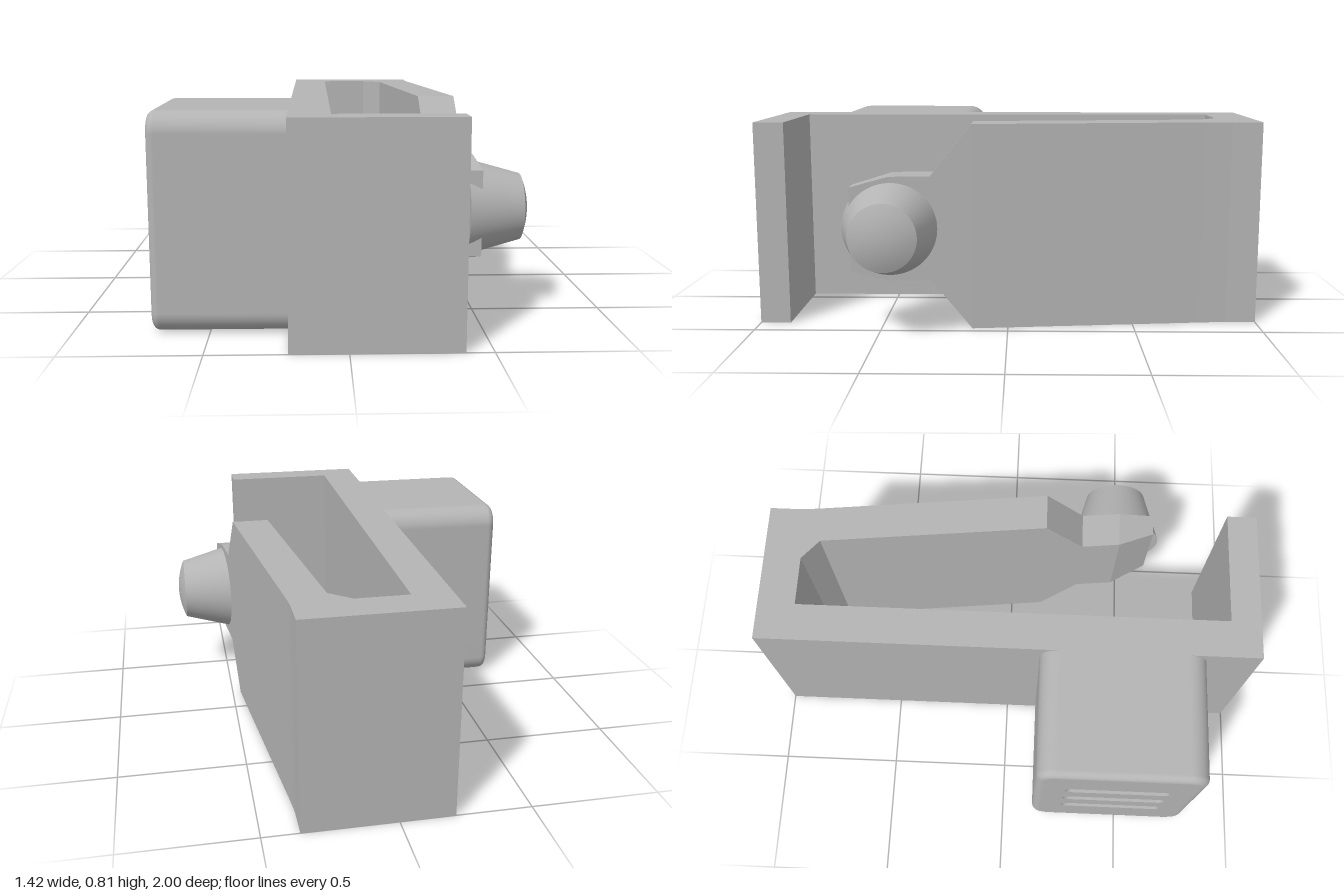
import * as THREE from 'three';

const HEIGHT = 0.81, MID = HEIGHT / 2;

// Rounded rectangle outline centred on the origin
function roundedRect(w, h, r, Type = THREE.Shape) {
  const s = new Type(), x = w / 2 - r, y = h / 2 - r;
  s.absarc(x, y, r, 0, Math.PI / 2);
  s.absarc(-x, y, r, Math.PI / 2, Math.PI);
  s.absarc(-x, -y, r, Math.PI, Math.PI * 1.5);
  s.absarc(x, -y, r, Math.PI * 1.5, Math.PI * 2);
  s.closePath();
  return s;
}

// Flat-shaded loft through rectangular sections [z, xInner, xOuter, yLow, yHigh]
function loftSections(sections) {
  const rings = sections.map(([z, a, b, lo, hi]) => [[a, lo, z], [b, lo, z], [b, hi, z], [a, hi, z]]);
  const pos = [];
  const quad = (a, b, c, d) => pos.push(...a, ...b, ...c, ...a, ...c, ...d);
  for (let i = 0; i < rings.length - 1; i++) {
    for (let j = 0; j < 4; j++) {
      const k = (j + 1) % 4;
      quad(rings[i][j], rings[i][k], rings[i + 1][k], rings[i + 1][j]);
    }
  }
  quad(...rings[rings.length - 1]);
  const g = new THREE.BufferGeometry();
  g.setAttribute('position', new THREE.Float32BufferAttribute(pos, 3));
  g.computeVertexNormals();
  return g;
}

// Side wall of the block with a small fillet at its outer end (local +z)
function filletedShell(w, h, r, depth, fillet) {
  const rings = [[0, 0]];
  for (let i = 0; i <= 6; i++) {
    const t = (i / 6) * Math.PI / 2;
    rings.push([depth - fillet + fillet * Math.sin(t), fillet * (1 - Math.cos(t))]);
  }
  const steps = 8, n = 4 * (steps + 1), pos = [], index = [];
  for (const [z, inset] of rings) {
    for (let q = 0; q < 4; q++) {
      const sx = q === 0 || q === 3 ? 1 : -1, sy = q < 2 ? 1 : -1;
      for (let k = 0; k <= steps; k++) {
        const a = (q + k / steps) * Math.PI / 2;
        pos.push(sx * (w / 2 - r) + (r - inset) * Math.cos(a), sy * (h / 2 - r) + (r - inset) * Math.sin(a), z);
      }
    }
  }
  for (let i = 0; i < rings.length - 1; i++) {
    for (let j = 0; j < n; j++) {
      const a = i * n + j, b = i * n + (j + 1) % n;
      index.push(a, b, b + n, a, b + n, a + n);
    }
  }
  const g = new THREE.BufferGeometry();
  g.setAttribute('position', new THREE.Float32BufferAttribute(pos, 3));
  g.setIndex(index);
  g.computeVertexNormals();
  return g;
}

export function createModel() {
  const model = new THREE.Group();
  model.name = 'springClip';
  const grey = new THREE.MeshStandardMaterial({ color: 0xb4b4b4 });
  grey.name = 'grey plastic';
  const add = (name, geometry, parent = model) => {
    const mesh = new THREE.Mesh(geometry, grey);
    mesh.name = name;
    parent.add(mesh);
    return mesh;
  };

  // Clip frame: plan outline (x, z) raised to full height
  const plan = [
    [-0.21, -1], [0.36, -1], [0.36, -0.88], [0.363, -0.83], [0.369, -0.77],
    [0.465, 0.14], [0.316, 0.14], [0.22, -0.78], [0.14, -0.85], [-0.06, -0.85],
    [-0.06, 0.88], [0.4, 0.88], [0.4, 1], [-0.21, 1],
  ].map(([x, z]) => new THREE.Vector2(x, z));
  const frame = new THREE.ExtrudeGeometry(new THREE.Shape(plan), { depth: HEIGHT, bevelEnabled: false });
  frame.rotateX(Math.PI / 2).translate(0, HEIGHT, 0);
  add('clipFrame', frame);

  // Narrowing free end of the spring arm
  add('armTip', loftSections([
    [0.14, 0.316, 0.465, 0, HEIGHT],
    [0.3, 0.333, 0.481, 0.2, 0.61],
    [0.46, 0.35, 0.497, 0.2, 0.61],
    [0.61, 0.425, 0.513, 0.24, 0.57],
  ]));

  // Tapered push button with a shallow domed end
  const button = new THREE.Group();
  button.name = 'button';
  button.position.set(0.465, MID, 0.46);
  button.rotation.z = -Math.PI / 2;
  model.add(button);
  add('buttonBody', new THREE.CylinderGeometry(0.13, 0.19, 0.215, 64).translate(0, 0.1075, 0), button);
  const dome = [];
  for (let i = 0; i <= 8; i++) {
    const r = 0.13 * (1 - i / 8);
    dome.push(new THREE.Vector2(r, 0.215 + 0.028 * (1 - (r / 0.13) ** 2)));
  }
  add('buttonDome', new THREE.LatheGeometry(dome, 64), button);

  // Rounded side block, built along local +z and turned to face -x
  const block = new THREE.Group();
  block.name = 'sideBlock';
  block.position.set(-0.21, MID, 0.46);
  block.rotation.y = -Math.PI / 2;
  model.add(block);
  const w = 0.66, depth = 0.5, fillet = 0.03, radius = 0.08, slotDepth = 0.05;
  add('blockShell', filletedShell(w, HEIGHT, radius, depth, fillet), block);

  // Outer face pierced by three slots, with a floor behind them
  const face = roundedRect(w - 2 * fillet, HEIGHT - 2 * fillet, radius - fillet);
  for (const y of [-0.155, 0, 0.155]) {
    const slot = roundedRect(0.42, 0.064, 0.0319, THREE.Path);
    face.holes.push(new THREE.Path(slot.getPoints(8).map((p) => p.add(new THREE.Vector2(0, y)))));
  }
  const plate = new THREE.ExtrudeGeometry(face, { depth: slotDepth, bevelEnabled: false, curveSegments: 8 });
  add('slottedFace', plate.translate(0, 0, depth - slotDepth), block);
  add('slotFloor', new THREE.BoxGeometry(0.5, 0.5, 0.02).translate(0, 0, depth - slotDepth - 0.01), block);

  return model;
}
